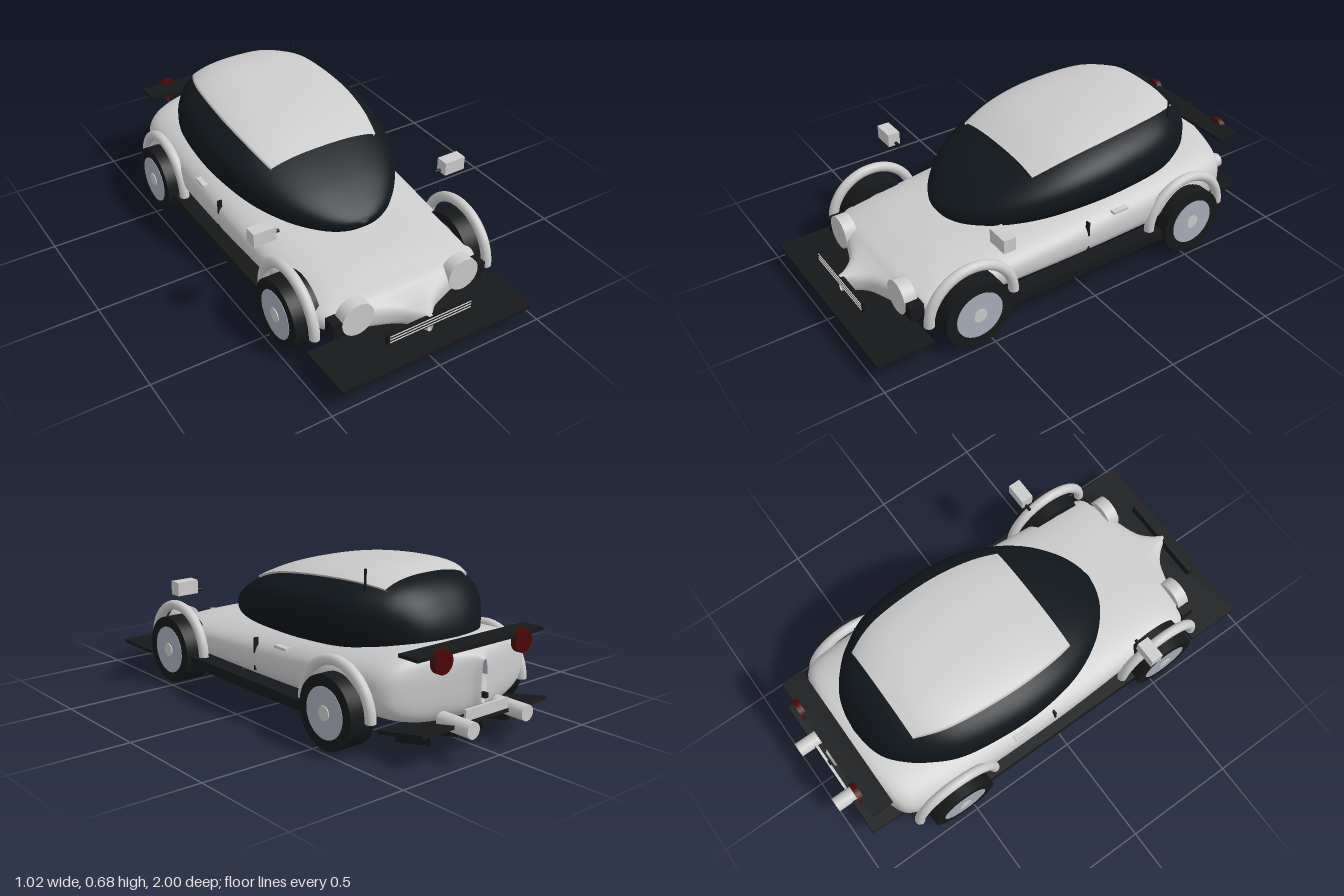
import * as THREE from 'three';

const mat = (color) => new THREE.MeshStandardMaterial({ color, side: THREE.DoubleSide });

// Smooth surface through rows of points; every row has the same count
function loft(rows) {
  const n = rows[0].length, idx = [];
  for (let i = 0; i < rows.length - 1; i++) {
    for (let j = 0; j < n - 1; j++) {
      const a = i * n + j, b = a + n;
      idx.push(a, a + 1, b, a + 1, b + 1, b);
    }
  }
  const g = new THREE.BufferGeometry();
  g.setAttribute('position', new THREE.Float32BufferAttribute(rows.flat(2), 3));
  g.setIndex(idx);
  g.computeVertexNormals();
  return g;
}

// Stations [z, halfWidth, bottom, top] -> smooth sampler over t = 0..1
function sampler(stations) {
  const a = new THREE.CatmullRomCurve3(stations.map((s) => new THREE.Vector3(s[0], s[1], 0)), false, 'catmullrom');
  const b = new THREE.CatmullRomCurve3(stations.map((s) => new THREE.Vector3(s[2], s[3], 0)), false, 'catmullrom');
  return (t) => {
    const p = a.getPoint(t), q = b.getPoint(t);
    return { z: p.x, w: Math.max(p.y, 0.004), y: (q.x + q.y) / 2, h: (q.y - q.x) / 2 };
  };
}

// Point on a rounded-box-like (superellipse) section
function sectionPoint(s, angle, n, grow = 0) {
  const c = Math.cos(angle), d = Math.sin(angle);
  const f = (v) => Math.sign(v) * Math.abs(v) ** (2 / n);
  return [(s.w + grow) * f(c), s.y + (s.h + grow) * f(d), s.z];
}

function hull(sample, n, steps = 84, around = 64) {
  const rows = [];
  for (let i = 0; i <= steps; i++) {
    const s = sample(i / steps), row = [];
    for (let j = 0; j <= around; j++) row.push(sectionPoint(s, -Math.PI / 2 + (j / around) * Math.PI * 2, n));
    rows.push(row);
  }
  return loft(rows);
}

export function createModel() {
  const model = new THREE.Group();
  const paint = mat(0xcccccc), black = mat(0x16181a), glass = mat(0x10161b);
  const rim = mat(0xa9adba), red = mat(0x4a0808);

  const add = (name, geo, material, x = 0, y = 0, z = 0, parent = model) => {
    const m = new THREE.Mesh(geo, material);
    m.name = name;
    m.position.set(x, y, z);
    parent.add(m);
    return m;
  };
  const box = (name, w, h, d, material, x, y, z, parent) =>
    add(name, new THREE.BoxGeometry(w, h, d), material, x, y, z, parent);
  const rodX = (r, len) => new THREE.CylinderGeometry(r, r, len, 40).rotateZ(Math.PI / 2);
  const rodZ = (r, len) => new THREE.CylinderGeometry(r, r, len, 40).rotateX(Math.PI / 2);

  // Body shell, pinched to a ridge at both ends
  const body = sampler([
    [-0.91, 0.015, 0.16, 0.355], [-0.88, 0.06, 0.145, 0.375], [-0.84, 0.19, 0.125, 0.39],
    [-0.805, 0.32, 0.11, 0.4], [-0.765, 0.385, 0.103, 0.41], [-0.68, 0.41, 0.1, 0.41],
    [-0.45, 0.42, 0.1, 0.395], [0, 0.42, 0.1, 0.355], [0.42, 0.4, 0.1, 0.308],
    [0.6, 0.39, 0.1, 0.285], [0.7, 0.39, 0.105, 0.26], [0.75, 0.345, 0.108, 0.245],
    [0.785, 0.235, 0.112, 0.228], [0.83, 0.105, 0.115, 0.212], [0.88, 0.045, 0.115, 0.203],
    [0.925, 0.014, 0.12, 0.197],
  ]);
  add('body', hull(body, 2.7), paint);

  // Egg-shaped glass cabin
  const cabin = sampler([
    [-0.765, 0.01, 0.36, 0.41], [-0.755, 0.09, 0.33, 0.46], [-0.73, 0.16, 0.31, 0.515],
    [-0.68, 0.225, 0.3, 0.58], [-0.6, 0.295, 0.295, 0.625], [-0.45, 0.37, 0.29, 0.65],
    [-0.2, 0.4, 0.29, 0.637], [0, 0.387, 0.29, 0.603], [0.16, 0.345, 0.29, 0.547],
    [0.3, 0.27, 0.295, 0.482], [0.4, 0.175, 0.305, 0.42], [0.45, 0.09, 0.32, 0.38],
    [0.47, 0.01, 0.345, 0.355],
  ]);
  add('cabinGlass', hull(cabin, 2.5), glass);

  // Roof panel: outer skin and inner skin over the middle of the cabin
  const roofRows = [];
  for (let i = 0; i <= 32; i++) {
    const s = cabin((4 + (i / 32) * 4) / 12), row = [];
    for (let j = 0; j <= 32; j++) row.push(sectionPoint(s, 0.83 + (j / 32) * (Math.PI - 1.66), 2.5, 0.011));
    for (let j = 32; j >= 0; j--) row.push(sectionPoint(s, 0.83 + (j / 32) * (Math.PI - 1.66), 2.5, -0.004));
    row.push(row[0]);
    roofRows.push(row);
  }
  add('roofPanel', loft(roofRows), paint);

  // Mirrored side parts
  for (const side of [1, -1]) {
    const label = side > 0 ? 'left' : 'right';
    for (const [end, z] of [['Front', 0.555], ['Rear', -0.544]]) {
      const wheel = new THREE.Group();
      wheel.name = label + end + 'Wheel';
      wheel.position.set(side * 0.416, 0.15, z);
      model.add(wheel);
      add('tyre', rodX(0.15, 0.122), black, 0, 0, 0, wheel);
      add('rimDisc', rodX(0.105, 0.126), rim, 0, 0, 0, wheel);
      add('hubCap', rodX(0.03, 0.134), paint, 0, 0, 0, wheel);
      add(label + end + 'Fender', new THREE.TorusGeometry(0.196, 0.022, 16, 40, Math.PI).rotateY(Math.PI / 2),
        paint, side * 0.42, 0.15, z);
    }
    box(label + 'SideSkirt', 0.07, 0.045, 0.86, black, side * 0.42, 0.125, 0);
    box(label + 'DoorSeam', 0.02, 0.14, 0.008, black, side * 0.408, 0.25, -0.02);
    box(label + 'DoorHandle', 0.025, 0.012, 0.075, paint, side * 0.402, 0.312, -0.19);
    box(label + 'Mirror', 0.1, 0.06, 0.055, paint, side * 0.46, 0.46, 0.432);
    add(label + 'MirrorStalk', rodX(0.007, 0.06), black, side * 0.41, 0.44, 0.425);
    add(label + 'Headlight', rodZ(0.073, 0.055), paint, side * 0.255, 0.205, 0.775);
    box(label + 'FrontVent', 0.06, 0.065, 0.06, black, side * 0.337, 0.188, 0.77);
    add(label + 'TailLight', rodZ(0.048, 0.025), red, side * 0.22, 0.385, -0.897);
    add(label + 'Exhaust', rodZ(0.033, 0.16), paint, side * 0.15, 0.132, -0.92);
  }

  // Nose: splitter and slatted grille
  box('frontSplitter', 0.91, 0.015, 0.25, black, 0, 0.09, 0.875);
  box('grille', 0.41, 0.048, 0.016, black, 0, 0.171, 0.918);
  for (const y of [0.157, 0.171, 0.185]) box('grilleBar', 0.39, 0.004, 0.008, paint, 0, y, 0.925);

  // Tail: spoiler, number plate and latch
  box('rearSpoiler', 0.69, 0.014, 0.1, black, 0, 0.41, -0.85);
  box('rearPlate', 0.235, 0.06, 0.012, paint, 0, 0.155, -0.925);
  box('rearLatch', 0.018, 0.02, 0.025, black, 0, 0.215, -0.912);

  // Sloped diffuser with fins
  const diffuser = new THREE.Group();
  diffuser.name = 'rearDiffuser';
  diffuser.position.set(0, 0.11, -0.817);
  diffuser.rotation.x = 0.2;
  model.add(diffuser);
  box('diffuserPlate', 0.69, 0.015, 0.24, black, 0, 0, 0, diffuser);
  for (let i = -2; i <= 2; i++) box('diffuserFin', 0.014, 0.045, 0.19, black, i * 0.14, -0.025, 0, diffuser);

  add('antenna', new THREE.CylinderGeometry(0.005, 0.005, 0.11, 12), black, 0.272, 0.62, -0.54);
  return model;
}
